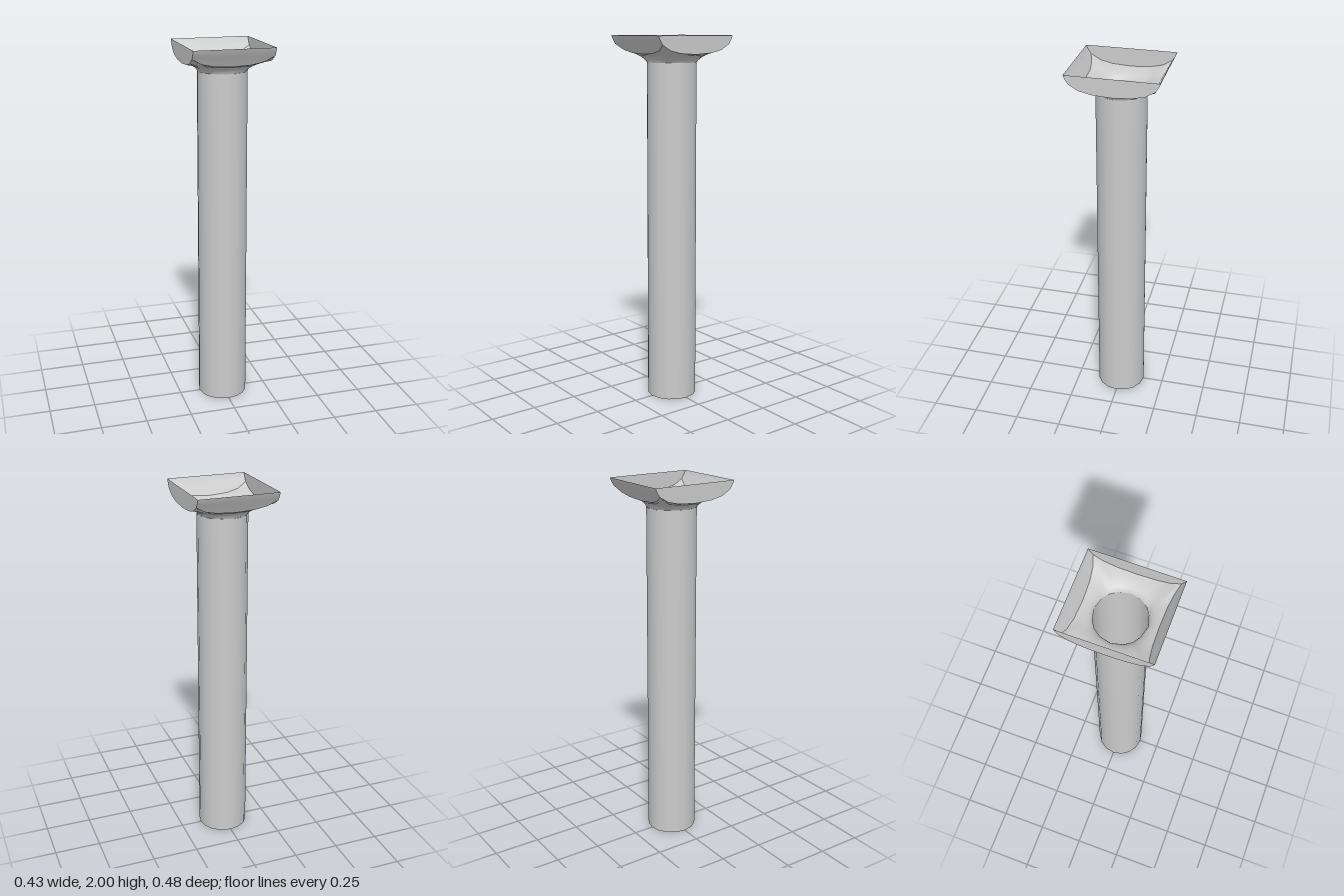
import * as THREE from 'three';

const material = new THREE.MeshStandardMaterial({ color: 0xcccccc, side: THREE.DoubleSide });
const HALF = 0.215, NECK_Y = 1.86, TOP_Y = 2, RADIUS = 0.133, SIDES = 16;

// Lower arc of each face, from the left corner to the right: [across, height]
const ARC = [[-HALF, 1.955], [-0.165, 1.926], [-0.1, 1.911], [0, 1.905], [0.1, 1.911], [0.165, 1.926], [HALF, 1.955]];
// Outward lean of the front and back panels: [height, depth]
const LEAN = [[1.905, 0.187], [1.955, HALF], [1.985, 0.234], [TOP_Y, 0.239]];

function depthAt(y) {
  for (let i = 1; i < LEAN.length; i++) {
    const [y0, z0] = LEAN[i - 1], [y1, z1] = LEAN[i];
    if (y <= y1 + 1e-6) return z0 + (z1 - z0) * (y - y0) / (y1 - y0);
  }
  return LEAN[LEAN.length - 1][1];
}

// Quarter turns about the vertical axis
function turn([x, z], k) {
  for (let i = 0; i < k; i++) [x, z] = [z, -x];
  return [x, z];
}

// Surface from a grid of points; "closed" joins the last column to the first
function gridMesh(name, cols, rows, point, closed = false) {
  const pos = [], index = [];
  for (let i = 0; i < cols; i++) for (let j = 0; j < rows; j++) pos.push(...point(i, j));
  for (let i = 0; i < (closed ? cols : cols - 1); i++) {
    for (let j = 0; j < rows - 1; j++) {
      const a = i * rows + j, b = ((i + 1) % cols) * rows + j;
      index.push(a, b, b + 1, a, b + 1, a + 1);
    }
  }
  const geometry = new THREE.BufferGeometry();
  geometry.setAttribute('position', new THREE.Float32BufferAttribute(pos, 3));
  geometry.setIndex(index);
  geometry.computeVertexNormals();
  const mesh = new THREE.Mesh(geometry, material);
  mesh.name = name;
  return mesh;
}

// Radius of the shaft polygon along a given angle
function shaftRadius(angle) {
  const step = 2 * Math.PI / SIDES;
  const local = ((angle % step) + step) % step - step / 2;
  return RADIUS * Math.cos(step / 2) / Math.cos(local);
}

export function createModel() {
  const group = new THREE.Group();
  group.name = 'column';

  // Hollow shaft with a very slight taper
  const bottom = 0.005;
  const shaft = new THREE.Mesh(
    new THREE.CylinderGeometry(RADIUS, 0.136, NECK_Y - bottom, SIDES, 1, true), material);
  shaft.position.y = (NECK_Y + bottom) / 2;
  shaft.name = 'shaft';
  group.add(shaft);

  // Flare from the round neck out to the arched square outline
  const perSide = ARC.length - 1, steps = 6;
  const flare = gridMesh('capitalFlare', perSide * 4, steps + 1, (i, j) => {
    const k = Math.floor(i / perSide);
    const [s, y] = ARC[i % perSide];
    const [ox, oz] = turn([s, k % 2 ? HALF : depthAt(y)], k);
    const angle = Math.atan2(ox, oz), outer = Math.hypot(ox, oz), neck = shaftRadius(angle);
    const control = neck + 0.1 * (outer - neck), t = j / steps;
    const a = (1 - t) ** 2, b = 2 * t * (1 - t), c = t * t;
    const r = a * neck + b * control + c * outer;
    return [r * Math.sin(angle), a * NECK_Y + b * 1.893 + c * y, r * Math.cos(angle)];
  }, true);
  group.add(flare);

  // Four upright panels above the arcs: leaning front and back, vertical sides
  ['frontPanel', 'leftPanel', 'backPanel', 'rightPanel'].forEach((name, k) => {
    const rows = 4;
    group.add(gridMesh(name, ARC.length, rows + 1, (i, j) => {
      const [s, y0] = ARC[i];
      const y = y0 + (TOP_Y - y0) * j / rows;
      const across = k % 2 ? s / HALF * Math.max(HALF, depthAt(y)) : s;
      const [x, z] = turn([across, k % 2 ? HALF : depthAt(y)], k);
      return [x, y, z];
    }));
  });

  return group;
}
